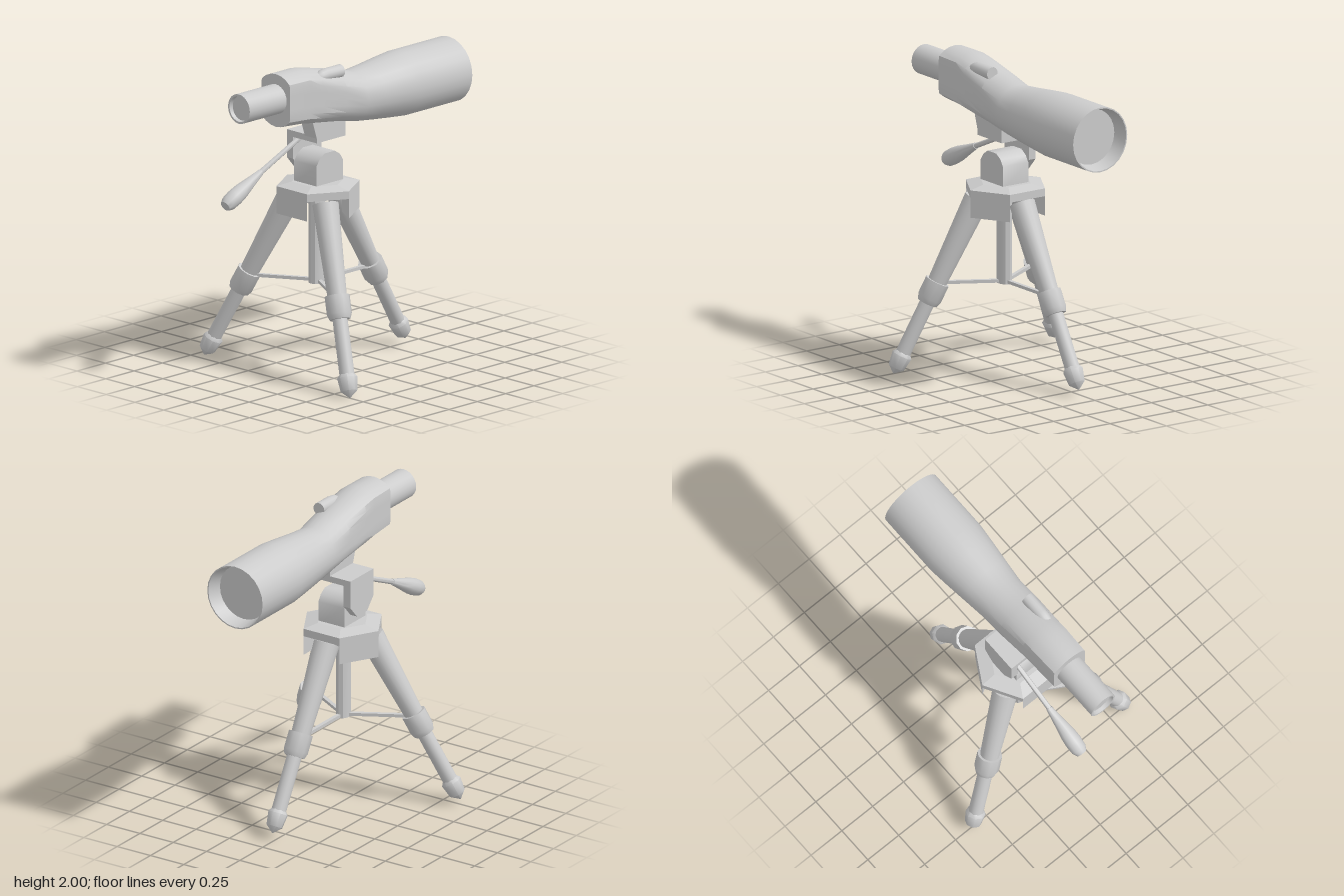
import * as THREE from 'three';
import { toCreasedNormals } from 'three/addons/utils/BufferGeometryUtils.js';

const material = new THREE.MeshStandardMaterial({ color: 0xcccccc });
const V = (x, y, z) => new THREE.Vector3(x, y, z);
const HUB = V(0.022, 0, 0.16);

function part(name, geometry, crease = 0.65) {
  const mesh = new THREE.Mesh(toCreasedNormals(geometry, crease), material);
  mesh.name = name;
  return mesh;
}

function box(name, x0, x1, y0, y1, z0, z1) {
  const g = new THREE.BoxGeometry(x1 - x0, y1 - y0, z1 - z0);
  return part(name, g.translate((x0 + x1) / 2, (y0 + y1) / 2, (z0 + z1) / 2));
}

// Lathe whose profile [radius, distance] runs from point a towards point b
function turned(name, a, b, profile, sides = 16) {
  const g = new THREE.LatheGeometry(profile.map(p => new THREE.Vector2(...p)), sides);
  const mesh = part(name, g, 0.85);
  mesh.position.copy(a);
  mesh.quaternion.setFromUnitVectors(V(0, 1, 0), b.clone().sub(a).normalize());
  return mesh;
}

// Side profile of [z, y] points, extruded between x0 and x1
function sideProfile(name, points, x0, x1) {
  const shape = new THREE.Shape(points.map(p => new THREE.Vector2(...p)));
  const g = new THREE.ExtrudeGeometry(shape, { depth: x1 - x0, bevelEnabled: false });
  return part(name, g.rotateY(-Math.PI / 2).translate(x1, 0, 0));
}

// Skin over rings [z, centreY, radius, halfWidth], ordered from +z to -z;
// halfWidth cuts the circle flat at the sides
function loft(name, cx, rings, sides = 24) {
  const pos = [], index = [];
  rings.forEach(([z, cy, r, w = r], s) => {
    for (let i = 0; i < sides; i++) {
      const a = (i / sides) * Math.PI * 2;
      pos.push(cx + THREE.MathUtils.clamp(r * Math.cos(a), -w, w), cy + r * Math.sin(a), z);
      if (s === rings.length - 1) continue;
      const a0 = s * sides + i, a1 = s * sides + (i + 1) % sides;
      index.push(a0, a0 + sides, a1, a1, a0 + sides, a1 + sides);
    }
  });
  const g = new THREE.BufferGeometry();
  g.setAttribute('position', new THREE.Float32BufferAttribute(pos, 3));
  g.setIndex(index);
  return part(name, g);
}

function makeLeg(tip, angle) {
  const leg = new THREE.Group();
  const out = V(Math.sin(angle), 0, Math.cos(angle));
  const top = HUB.clone().addScaledVector(out, 0.175).setY(1.11);
  const length = top.distanceTo(tip);
  const collar = length * 0.47;
  leg.add(
    turned('foot', tip, top, [[0, 0], [0.052, 0.045], [0.064, 0.13], [0.045, 0.155]], 8),
    turned('lowerLeg', tip, top, [[0.047, 0.1], [0.047, collar]]),
    turned('legCollar', tip, top, [[0.045, collar - 0.08], [0.066, collar - 0.08], [0.079, collar - 0.045],
      [0.079, collar + 0.07], [0.05, collar + 0.07]], 10),
    turned('upperLeg', tip, top, [[0.058, collar], [0.082, length], [0, length + 0.01]]),
  );
  // Strut from the centre column to the collar
  const strut = new THREE.BoxGeometry(0.025, 0.02, 0.4).translate(0, 0.575, 0.22);
  const strutMesh = part('strut', strut.rotateY(angle));
  strutMesh.position.copy(HUB);
  leg.add(strutMesh);
  return leg;
}

function makeTripod() {
  const tripod = new THREE.Group();
  tripod.name = 'tripod';

  // Hexagonal hub plate with a shallow sloped top
  const plate = new THREE.LatheGeometry([[0, 1.145], [0.268, 1.145], [0.268, 1.195], [0.17, 1.217], [0, 1.217]]
    .map(p => new THREE.Vector2(...p)), 6, Math.PI / 6 * 3);
  const hub = part('hubPlate', plate, 0.1);
  hub.position.copy(HUB);
  tripod.add(hub);

  // Hollow wedges under the hub, between the legs
  for (let i = 0; i < 3; i++) {
    const wedge = new THREE.Shape([[-0.134, -0.232], [0.134, -0.232], [0, -0.155]].map(p => new THREE.Vector2(...p)));
    wedge.holes.push(new THREE.Path([[-0.09, -0.22], [0, -0.169], [0.09, -0.22]].map(p => new THREE.Vector2(...p))));
    const g = new THREE.ExtrudeGeometry(wedge, { depth: 0.14, bevelEnabled: false });
    g.rotateX(-Math.PI / 2).translate(0, 1.02, 0).rotateY(i * Math.PI * 2 / 3);
    const mesh = part('legBracket', g);
    mesh.position.copy(HUB);
    tripod.add(mesh);
  }

  const column = new THREE.CylinderGeometry(0.056, 0.056, 0.62, 10).scale(0.8, 1, 1);
  const columnMesh = part('centreColumn', column);
  columnMesh.position.set(HUB.x, 0.87, HUB.z + 0.01);
  tripod.add(columnMesh);

  const legs = [
    ['leftLeg', V(0.635, 0.0, 0.5), Math.PI / 3],
    ['rightLeg', V(-0.625, 0.03, 0.51), -Math.PI / 3],
    ['backLeg', V(0.022, 0.04, -0.612), Math.PI],
  ];
  for (const [name, tip, angle] of legs) {
    const leg = makeLeg(tip, angle);
    leg.name = name;
    tripod.add(leg);
  }
  return tripod;
}

function makeHead() {
  const head = new THREE.Group();
  head.name = 'panHead';
  const grip = V(-0.06, 1.335, 0.58), gripEnd = V(-0.06, 1.175, 0.9);
  const rodStart = V(-0.06, 1.525, 0.15);
  head.add(
    sideProfile('tiltBlock', [[0.278, 1.2], [0.278, 1.345], [0.25, 1.385], [0.205, 1.415], [0.115, 1.415],
      [0.07, 1.385], [0.045, 1.345], [0.045, 1.2]], -0.07, 0.125),
    sideProfile('tiltPlate', [[0.29, 1.52], [0.29, 1.36], [0.22, 1.28], [0.11, 1.28], [0.038, 1.36], [0.038, 1.52]],
      -0.12, -0.068),
    box('cameraPlatform', -0.12, 0.14, 1.5, 1.54, 0.038, 0.29),
    sideProfile('mountingFoot', [[0.29, 1.53], [0.325, 1.64], [0.325, 1.68], [0.038, 1.68], [0.038, 1.53]], 0.035, 0.14),
    turned('handleRod', rodStart, grip, [[0.015, 0], [0.017, 0.48]], 10),
    turned('handleGrip', grip, gripEnd, [[0, 0], [0.02, 0], [0.034, 0.1], [0.05, 0.2], [0.054, 0.26],
      [0.05, 0.32], [0.035, 0.352], [0, 0.357]], 14),
  );
  return head;
}

function makeScope() {
  const scope = new THREE.Group();
  scope.name = 'spottingScope';
  const cx = 0.088;
  scope.add(
    // Body, ending in an open hood with the lens set inside
    loft('scopeBody', cx, [
      [0.6, 1.83, 0], [0.6, 1.83, 0.17, 0.126], [0.42, 1.823, 0.177, 0.128], [0.32, 1.806, 0.176, 0.135],
      [0.12, 1.768, 0.168, 0.147], [-0.06, 1.727, 0.162, 0.16], [-0.2, 1.724, 0.177],
      [-0.35, 1.724, 0.194], [-0.49, 1.724, 0.208], [-0.925, 1.724, 0.208],
      [-0.925, 1.724, 0.2], [-0.83, 1.724, 0.178], [-0.83, 1.724, 0],
    ]),
    // Eyepiece with a recessed glass
    loft('eyepiece', cx, [
      [0.9, 1.84, 0], [0.9, 1.84, 0.078], [0.925, 1.84, 0.082], [0.925, 1.84, 0.095], [0.58, 1.84, 0.095],
    ]),
    // Sighting tube with a sloping nose
    loft('sightingTube', 0.163, [
      [0.335, 1.917, 0], [0.335, 1.917, 0.016], [0.31, 1.927, 0.03], [0.28, 1.934, 0.038],
      [0.24, 1.937, 0.041], [0.105, 1.937, 0.041], [0.105, 1.937, 0],
    ], 14),
  );
  return scope;
}

export function createModel() {
  const model = new THREE.Group();
  model.name = 'scopeOnTripod';
  model.add(makeTripod(), makeHead(), makeScope());
  return model;
}
